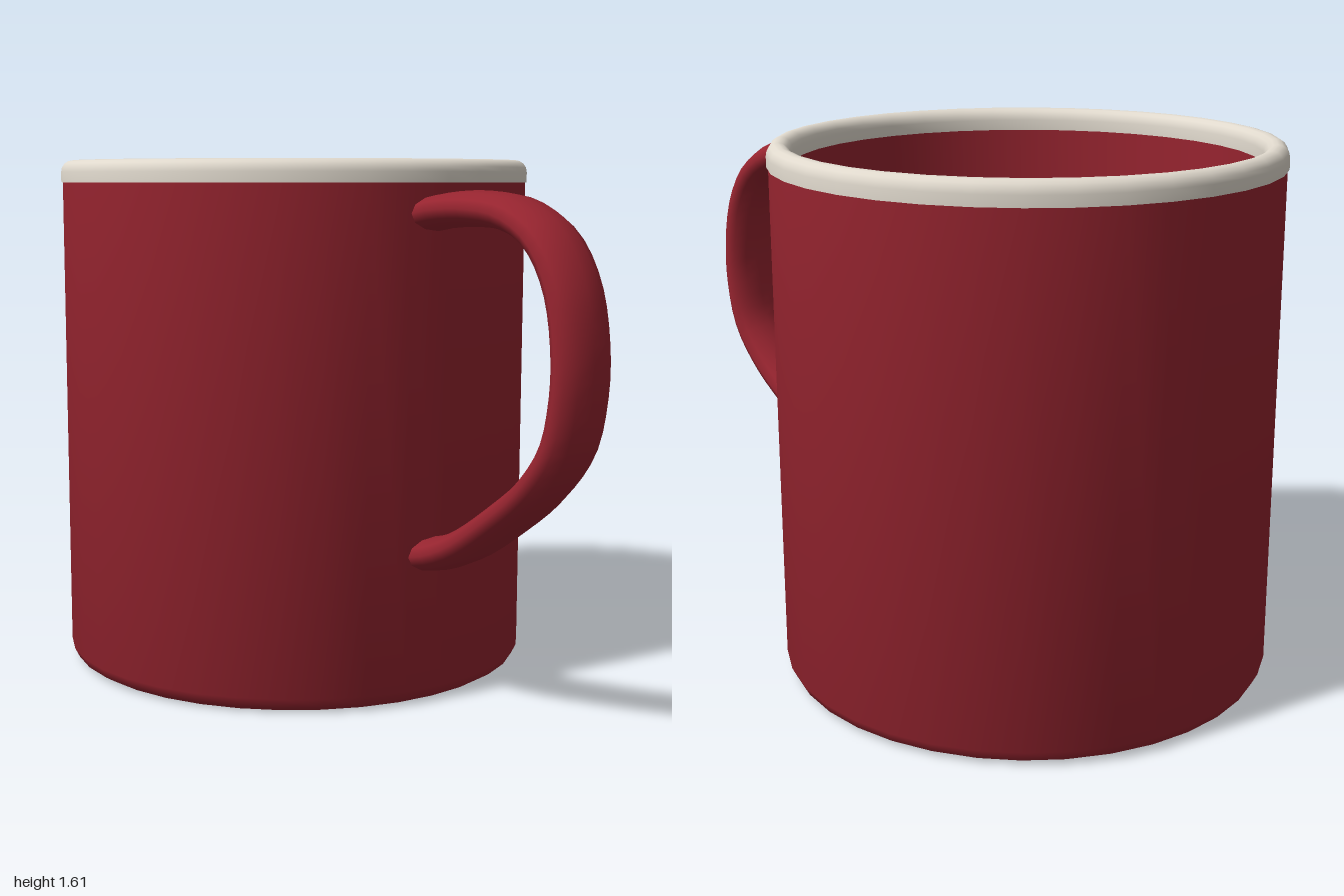
import * as THREE from 'three';
import { toCreasedNormals } from 'three/addons/utils/BufferGeometryUtils.js';

const SEGMENTS = 36;

// Turned part from [radius, height] pairs, with sharp edges kept
function turned(name, profile, material) {
  const points = profile.map(([r, y]) => new THREE.Vector2(r, y));
  const geometry = toCreasedNormals(new THREE.LatheGeometry(points, SEGMENTS), 0.7);
  const mesh = new THREE.Mesh(geometry, material);
  mesh.name = name;
  return mesh;
}

export function createModel() {
  const red = new THREE.MeshStandardMaterial({ color: 0x96242f });
  red.name = 'red enamel';
  const cream = new THREE.MeshStandardMaterial({ color: 0xe0d9cd });
  cream.name = 'cream enamel';

  const mug = new THREE.Group();
  mug.name = 'mug';
  mug.position.z = -0.25;

  // Outer shell with a pressed recess under the base
  mug.add(turned('outerWall', [
    [0, 0.05], [0.565, 0.05], [0.59, 0], [0.705, 0], [0.73, 0.015],
    [0.745, 0.045], [0.745, 1.55],
  ], red));

  // Inner wall and floor, with the recess showing as a raised disc
  mug.add(turned('innerWall', [
    [0.685, 1.55], [0.685, 0.07], [0.59, 0.06], [0.565, 0.11], [0, 0.11],
  ], red));

  // Rolled rim: straight sides and a rounded top
  const rim = [[0.745, 1.545], [0.75, 1.545]];
  for (let i = 0; i <= 8; i++) {
    const a = (i / 8) * Math.PI;
    rim.push([0.715 + 0.035 * Math.cos(a), 1.577 + 0.037 * Math.sin(a)]);
  }
  rim.push([0.68, 1.545], [0.685, 1.545]);
  mug.add(turned('rim', rim, cream));

  // Handle: a round tube widened into a flat oval strap
  const path = new THREE.CatmullRomCurve3([
    [0.7, 1.45], [0.8, 1.467], [0.96, 1.473], [1.1, 1.455], [1.22, 1.39], [1.3, 1.27],
    [1.335, 1.1], [1.33, 0.97], [1.295, 0.84], [1.2, 0.72], [1.05, 0.605],
    [0.9, 0.51], [0.79, 0.465], [0.7, 0.445],
  ].map(([r, y]) => new THREE.Vector3(r, y, 0)));
  const strap = new THREE.TubeGeometry(path, 40, 0.051, 12, false);
  strap.scale(1, 1, 1.9);
  const handle = new THREE.Mesh(strap, red);
  handle.name = 'handle';
  handle.rotation.y = -1.086;
  mug.add(handle);

  const model = new THREE.Group();
  model.name = 'enamelMug';
  model.add(mug);
  return model;
}
